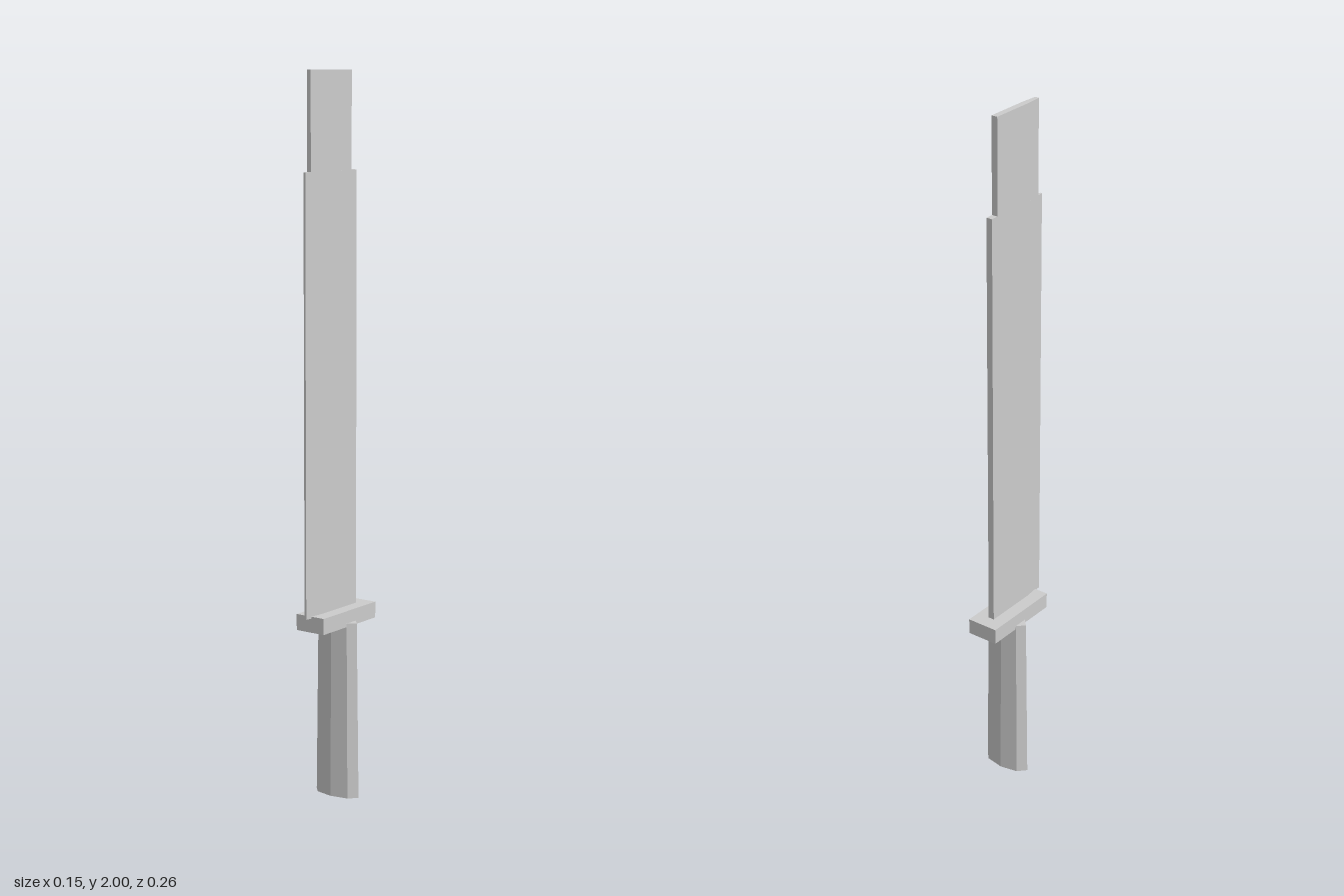
import * as THREE from 'three';

const steel = new THREE.MeshStandardMaterial({ color: 0xcccccc });
steel.name = 'greySteel';

function addPart(group, name, geometry) {
  const flat = geometry.index ? geometry.toNonIndexed() : geometry;
  flat.computeVertexNormals();
  const mesh = new THREE.Mesh(flat, steel);
  mesh.name = name;
  group.add(mesh);
  return mesh;
}

// Slab with a flat spine at the back and a bevel narrowing to the front edge
function bladeGeometry(back, bevel, front, halfSpine, halfEdge, y0, y1) {
  const shape = new THREE.Shape([
    [-halfSpine, -back], [halfSpine, -back], [halfSpine, -bevel],
    [halfEdge, -front], [-halfEdge, -front], [-halfSpine, -bevel],
  ].map(([x, y]) => new THREE.Vector2(x, y)));
  const geometry = new THREE.ExtrudeGeometry(shape, { depth: y1 - y0, bevelEnabled: false });
  return geometry.rotateX(-Math.PI / 2).translate(0, y0, 0);
}

export function createModel() {
  const sword = new THREE.Group();
  sword.name = 'sword';

  // Flattened eight-sided grip, slightly wider at the foot
  const grip = new THREE.CylinderGeometry(0.066, 0.073, 0.5, 8);
  grip.scale(1, 1, 0.45).translate(0, 0.25, -0.016);
  addPart(sword, 'grip', grip);

  // Rectangular guard
  addPart(sword, 'guard', new THREE.BoxGeometry(0.092, 0.045, 0.24).translate(0, 0.5125, -0.011));

  // Long blade and the narrower end section
  addPart(sword, 'blade', bladeGeometry(-0.09, 0.065, 0.13, 0.009, 0.003, 0.53, 1.735));
  addPart(sword, 'bladeEnd', bladeGeometry(-0.067, 0.06, 0.11, 0.009, 0.006, 1.735, 2));

  return sword;
}
